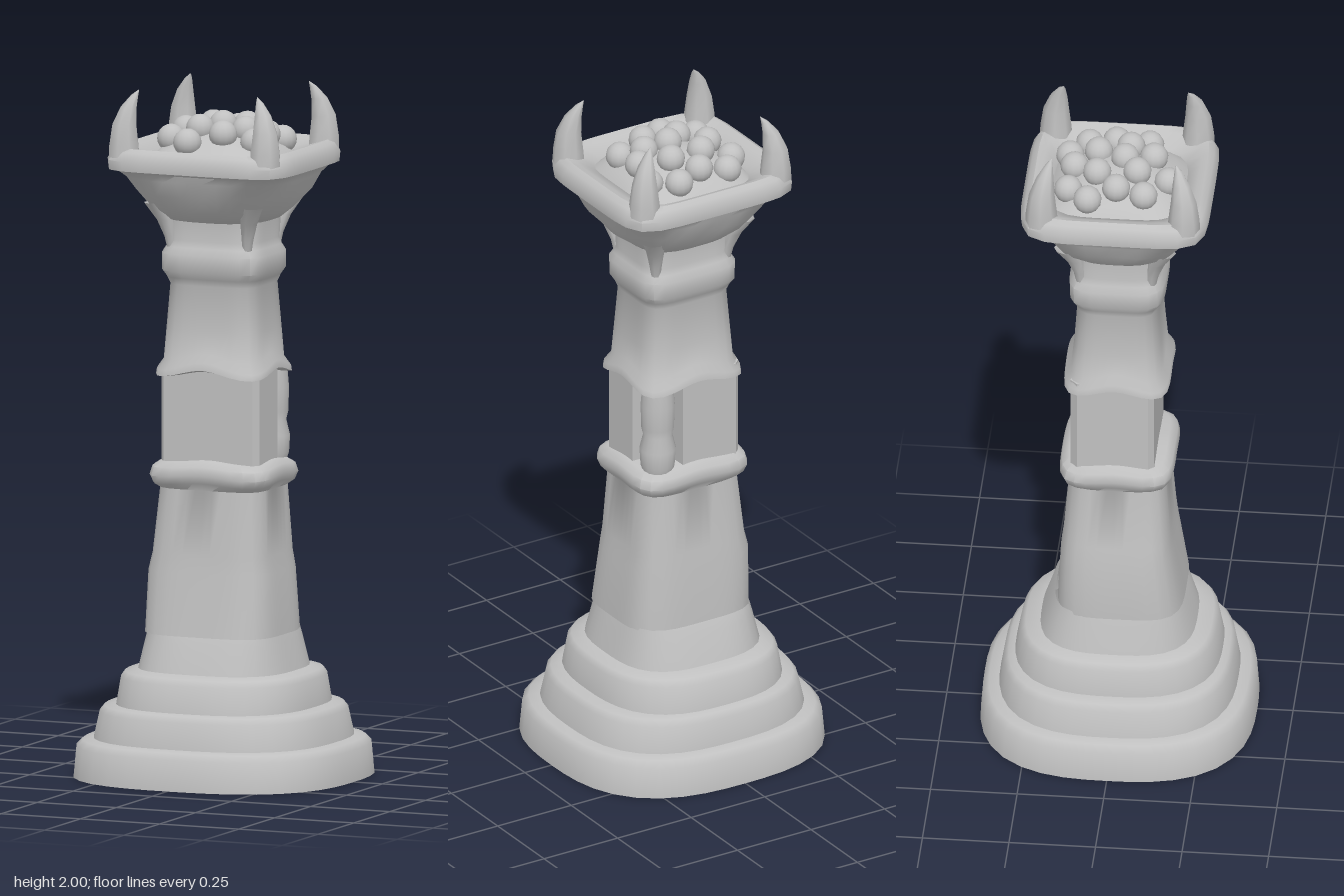
import * as THREE from 'three';
import { toCreasedNormals } from 'three/addons/utils/BufferGeometryUtils.js';

// Loft of rounded-square rings, bottom to top.
// ring: [y, halfX, halfZ, squareness, cornerDrop, offsetX, offsetZ, ripple]
function loft(rings, segments = 40) {
  const pos = [], idx = [];
  for (const [y, hx, hz, n, drop = 0, ox = 0, oz = 0, ripple = 0] of rings) {
    for (let i = 0; i < segments; i++) {
      const a = (i / segments) * Math.PI * 2, c = Math.cos(a), s = Math.sin(a);
      const r = Math.pow(Math.abs(c) ** n + Math.abs(s) ** n, -1 / n) * (1 + ripple * Math.cos(8 * a));
      pos.push(ox + hx * r * c, y - drop * Math.sin(2 * a) ** 2, oz + hz * r * s);
    }
  }
  for (let j = 0; j < rings.length - 1; j++) {
    for (let i = 0; i < segments; i++) {
      const k = (i + 1) % segments;
      const a = j * segments + i, b = j * segments + k, c = a + segments, d = b + segments;
      idx.push(a, c, b, b, c, d);
    }
  }
  const g = new THREE.BufferGeometry();
  g.setAttribute('position', new THREE.Float32BufferAttribute(pos, 3));
  g.setIndex(idx);
  return toCreasedNormals(g, 0.8);
}

// Tapered horn following a list of [x, y, z, radius]
function taper(points, sides = 8) {
  const pos = [], idx = [];
  points.forEach(([x, y, z, r]) => {
    for (let i = 0; i < sides; i++) {
      const a = (i / sides) * Math.PI * 2;
      pos.push(x + r * Math.cos(a), y, z + r * Math.sin(a));
    }
  });
  for (let j = 0; j < points.length - 1; j++) {
    for (let i = 0; i < sides; i++) {
      const k = (i + 1) % sides, a = j * sides + i, b = j * sides + k;
      idx.push(a, a + sides, b, b, a + sides, b + sides);
    }
  }
  const g = new THREE.BufferGeometry();
  g.setAttribute('position', new THREE.Float32BufferAttribute(pos, 3));
  g.setIndex(idx);
  g.computeVertexNormals();
  return g;
}

export function createModel() {
  const model = new THREE.Group();
  const stone = new THREE.MeshStandardMaterial({ color: 0xc0c0c0, side: THREE.DoubleSide });
  stone.name = 'stone';
  const add = (name, geometry, parent = model) => {
    const mesh = new THREE.Mesh(geometry, stone);
    mesh.name = name;
    parent.add(mesh);
    return mesh;
  };

  // Stepped plinth, open and hollow underneath
  add('steppedBase', loft([
    [0, 0.41, 0.397, 2.7], [0.09, 0.402, 0.39, 2.7], [0.108, 0.385, 0.373, 2.7],
    [0.113, 0.355, 0.343, 2.7], [0.19, 0.338, 0.33, 2.7], [0.207, 0.325, 0.317, 2.7],
    [0.212, 0.29, 0.298, 2.7], [0.29, 0.278, 0.283, 2.7], [0.307, 0.265, 0.268, 2.8],
    [0.315, 0.228, 0.225, 3], [0.4, 0.205, 0.195, 3.5], [0.43, 0.195, 0.18, 4],
  ]));

  // Lower shaft with its collar
  add('lowerShaft', loft([
    [0.42, 0.2, 0.183, 4, 0, 0, 0.01], [0.6, 0.19, 0.163, 4.5, 0, -0.006],
    [0.65, 0.178, 0.156, 5, 0, -0.004], [0.84, 0.163, 0.14, 5],
    [0.862, 0.18, 0.157, 5, 0.01], [0.885, 0.189, 0.166, 5, 0.01],
    [0.91, 0.182, 0.16, 5, 0.01], [0.925, 0.16, 0.14, 5, 0.01], [0.925, 0.001, 0.001, 5],
  ]));

  // Recessed middle block, notched at one back corner
  const block = new THREE.Shape([
    [-0.155, -0.095], [-0.14, -0.112], [0.14, -0.112], [0.155, -0.095], [0.155, 0.032],
    [0.045, 0.032], [0.045, 0.13], [-0.135, 0.13], [-0.155, 0.11],
  ].map(([x, y]) => new THREE.Vector2(x, y)));
  const blockGeo = new THREE.ExtrudeGeometry(block, { depth: 0.3, bevelEnabled: false });
  blockGeo.rotateX(-Math.PI / 2).translate(0, 0.9, 0);
  add('recessedBlock', blockGeo);

  // Rounded baluster standing in the notch
  const balusterProfile = [[0.04, 0.9], [0.05, 0.93], [0.053, 0.98], [0.042, 1.025],
    [0.048, 1.05], [0.05, 1.12], [0.044, 1.19]];
  const baluster = add('cornerBaluster', new THREE.LatheGeometry(
    balusterProfile.map(([r, y]) => new THREE.Vector2(r, y)), 16));
  baluster.position.set(0.108, 0, -0.094);

  // Upper shaft with two collars
  add('upperShaft', loft([
    [1.185, 0.001, 0.001, 5], [1.185, 0.155, 0.135, 5, 0.02], [1.19, 0.172, 0.154, 5, 0.025],
    [1.212, 0.17, 0.151, 5, 0.03], [1.235, 0.153, 0.134, 5, 0.025],
    [1.3, 0.147, 0.126, 5], [1.43, 0.137, 0.117, 5], [1.45, 0.145, 0.125, 5],
    [1.47, 0.157, 0.138, 5], [1.52, 0.158, 0.139, 5], [1.54, 0.147, 0.128, 5],
    [1.56, 0.142, 0.121, 5], [1.64, 0.145, 0.128, 5],
  ]));

  // Bowl with a raised rim that slopes inward
  add('bowl', loft([
    [1.612, 0.12, 0.11, 3], [1.62, 0.155, 0.145, 3], [1.65, 0.195, 0.185, 2.7, 0, 0, 0, 0.015],
    [1.7, 0.235, 0.225, 2.8, 0, 0, 0, -0.02], [1.745, 0.255, 0.244, 3.5],
    [1.765, 0.265, 0.252, 5], [1.772, 0.284, 0.27, 6], [1.8, 0.286, 0.273, 6],
    [1.825, 0.272, 0.26, 6], [1.835, 0.255, 0.245, 6], [1.828, 0.235, 0.225, 5.5],
    [1.805, 0.19, 0.193, 4.5], [1.78, 0.18, 0.185, 4],
  ]));

  // Corner horns and the brackets below the bowl
  for (const sx of [-1, 1]) {
    for (const sz of [-1, 1]) {
      const horn = [[0.222, 1.79, 0.205, 0.048], [0.223, 1.84, 0.206, 0.045], [0.222, 1.9, 0.205, 0.037],
        [0.212, 1.95, 0.197, 0.025], [0.197, 1.985, 0.187, 0.011], [0.187, 2, 0.18, 0.001]];
      add('horn', taper(horn.map(([x, y, z, r]) => [sx * x, y, sz * z, r])));
      const bracket = [[0.118, 1.52, 0.1, 0.012], [0.122, 1.57, 0.105, 0.018],
        [0.132, 1.62, 0.118, 0.026], [0.152, 1.67, 0.142, 0.034]];
      add('bracket', taper(bracket.map(([x, y, z, r]) => [sx * x, y, sz * z, r])));
    }
  }

  // Heap of round coals on a low mound
  const coals = new THREE.Group();
  coals.name = 'coals';
  model.add(coals);
  add('coalMound', loft([
    [1.795, 0.188, 0.192, 4], [1.825, 0.165, 0.165, 3], [1.855, 0.11, 0.11, 2],
    [1.875, 0.05, 0.05, 2], [1.88, 0.001, 0.001, 2],
  ]), coals);
  const spots = [[-0.1, -0.14], [-0.01, -0.13], [0.07, -0.15], [0.14, -0.1], [-0.15, -0.08],
    [-0.06, -0.06], [0.045, -0.065], [-0.12, 0], [0.125, -0.02], [0.005, 0.015], [0.08, 0.025],
    [-0.05, 0.055], [-0.13, 0.08], [0.04, 0.095], [0.13, 0.075], [-0.05, 0.145]];
  const coalGeo = new THREE.SphereGeometry(0.041, 14, 10);
  for (const [x, z] of spots) {
    add('coal', coalGeo, coals).position.set(x, 1.89 - 1.7 * (x * x + z * z), z);
  }

  return model;
}
